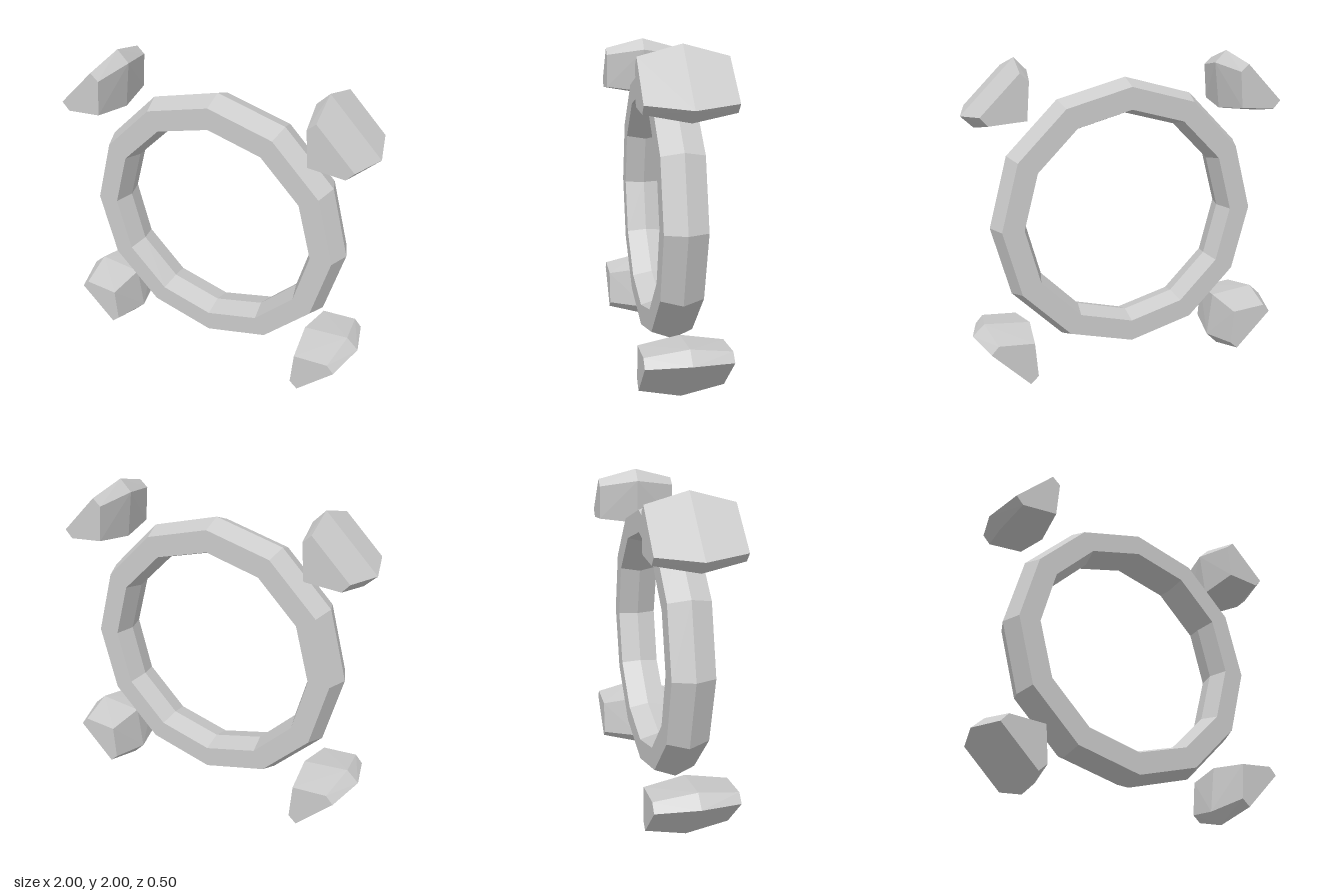
import * as THREE from 'three';
import { ConvexGeometry } from 'three/addons/geometries/ConvexGeometry.js';

const material = new THREE.MeshStandardMaterial({ color: 0xcccccc, flatShading: true });

// Twelve-sided ring with a hexagonal cross-section, facing +z
function createRing() {
  const profile = [
    [0.68, -0.125], [0.815, -0.125], [0.862, 0], [0.815, 0.125],
    [0.68, 0.125], [0.645, 0], [0.68, -0.125],
  ].map(([r, h]) => new THREE.Vector2(r, h));
  const ring = new THREE.Mesh(new THREE.LatheGeometry(profile, 12).rotateX(Math.PI / 2), material);
  ring.name = 'ring';
  return ring;
}

// Corner shard: wide outline in the middle, smaller outline on both faces
function createShard(sx, sy) {
  const middle = [[0.68, 1], [1, 0.68], [0.925, 0.61], [0.64, 0.64], [0.605, 0.925]];
  const face = [[0.705, 0.935], [0.935, 0.705], [0.89, 0.655], [0.672, 0.672], [0.655, 0.89]];
  const layer = (outline, z) => outline.map(([x, y]) => new THREE.Vector3(sx * x, sy * y, z));
  const points = [...layer(face, -0.25), ...layer(middle, 0), ...layer(face, 0.25)];
  const shard = new THREE.Mesh(new ConvexGeometry(points), material);
  shard.name = (sy > 0 ? 'upper' : 'lower') + (sx > 0 ? 'Left' : 'Right') + 'Shard';
  return shard;
}

export function createModel() {
  const model = new THREE.Group();
  model.name = 'ringWithShards';

  // Everything is laid out around the ring centre, one unit above the ground
  const body = new THREE.Group();
  body.name = 'body';
  body.position.y = 1;
  body.add(createRing());
  for (const sx of [-1, 1]) {
    for (const sy of [-1, 1]) body.add(createShard(sx, sy));
  }
  model.add(body);
  return model;
}
